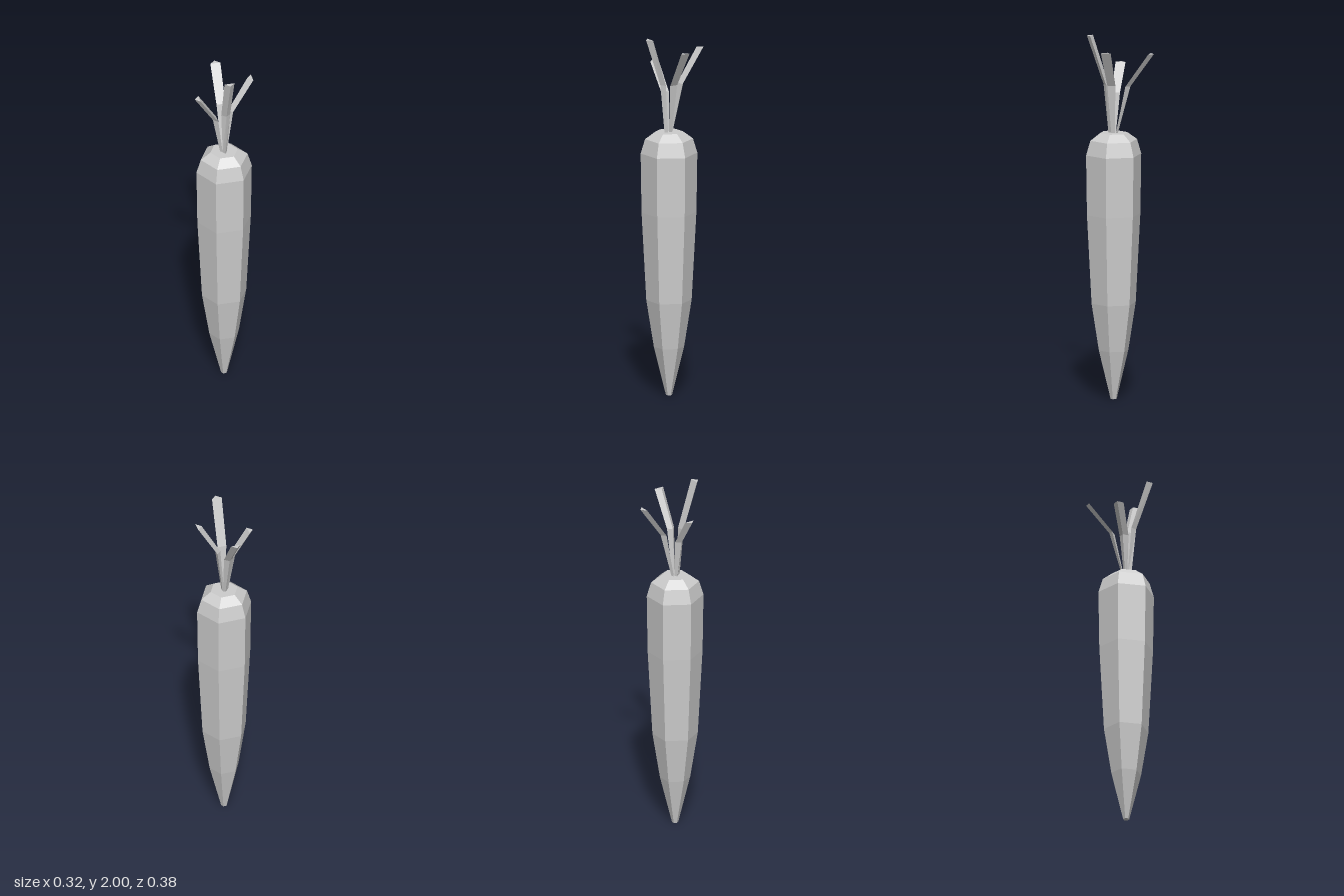
import * as THREE from 'three';

const grey = new THREE.MeshStandardMaterial({ color: 0xcccccc, flatShading: true });
grey.name = 'plain grey';

const CX = 0.003, CZ = 0.038; // axis of the root

// Hexagonal tapering root, closed at both ends
function makeRoot() {
  const profile = [
    [0, 0], [0.017, 0], [0.083, 0.27], [0.124, 0.53], [0.15, 1.02],
    [0.155, 1.35], [0.131, 1.43], [0.077, 1.47], [0, 1.47],
  ].map(([r, y]) => new THREE.Vector2(r, y));
  const geometry = new THREE.LatheGeometry(profile, 6, Math.PI / 6).toNonIndexed();
  geometry.computeVertexNormals();
  const root = new THREE.Mesh(geometry, grey);
  root.name = 'root';
  root.position.set(CX, 0, CZ);
  return root;
}

// Bent triangular stalk along local +x; each station is
// [distance of flat side, distance of ridge, height, half width]
function makeStalk(name, angle, stations) {
  const rings = stations.map(([flat, ridge, y, half]) => {
    const h = ridge > flat ? half : -half; // keeps the faces outward
    return [[flat, y, -h], [flat, y, h], [ridge, y, 0]];
  });
  const positions = [];
  const tri = (a, b, c) => positions.push(...a, ...b, ...c);
  for (let i = 0; i < rings.length - 1; i++) {
    const low = rings[i], high = rings[i + 1];
    for (let j = 0; j < 3; j++) {
      const k = (j + 1) % 3;
      tri(low[j], low[k], high[k]);
      tri(low[j], high[k], high[j]);
    }
  }
  const first = rings[0], last = rings[rings.length - 1];
  tri(last[0], last[1], last[2]);
  tri(first[2], first[1], first[0]);

  const geometry = new THREE.BufferGeometry();
  geometry.setAttribute('position', new THREE.Float32BufferAttribute(positions, 3));
  geometry.computeVertexNormals();
  const stalk = new THREE.Mesh(geometry, grey);
  stalk.name = name;
  stalk.position.set(CX, 0, CZ);
  stalk.rotation.y = angle;
  return stalk;
}

export function createModel() {
  const model = new THREE.Group();
  model.name = 'carrot';
  model.add(makeRoot());

  // Four leaf stalks fanning out from the crown
  model.add(
    makeStalk('frontStalk', -Math.PI / 2, [
      [0.014, 0.03, 1.47, 0.011], [0.037, 0.057, 1.735, 0.025], [0.125, 0.152, 2.0, 0.028]]),
    makeStalk('backStalk', Math.PI / 2, [
      [0.016, 0.024, 1.47, 0.011], [0.073, 0.095, 1.73, 0.025], [0.203, 0.228, 1.914, 0.028]]),
    makeStalk('rightStalk', Math.PI, [
      [0.011, 0.023, 1.47, 0.01], [0.038, 0.063, 1.685, 0.025], [0.138, 0.165, 1.838, 0.028]]),
    makeStalk('leftStalk', 0, [
      [0.013, 0.001, 1.47, 0.01], [0.045, 0.022, 1.735, 0.023], [0.157, 0.129, 1.932, 0.028]]),
  );
  return model;
}
